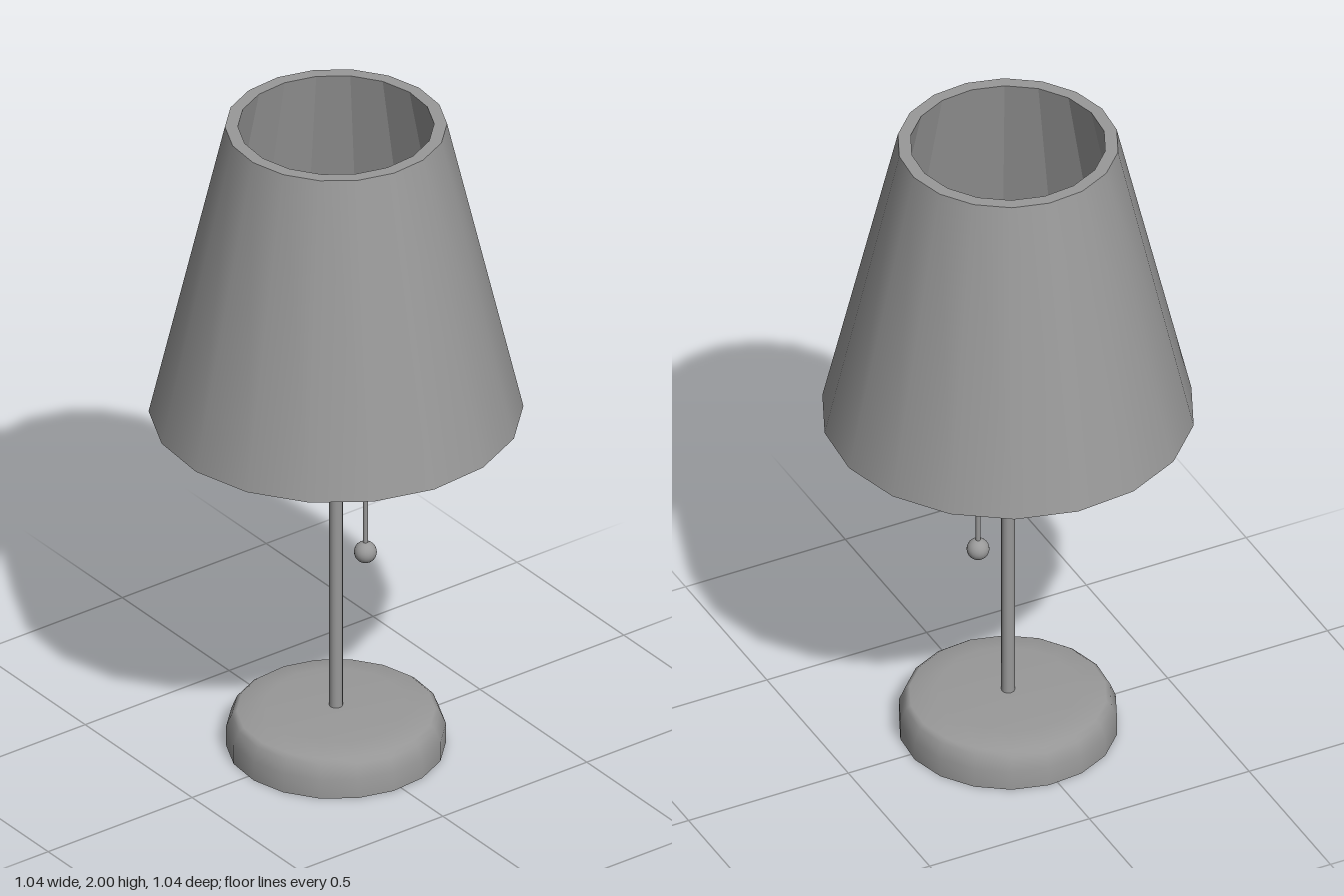
import * as THREE from 'three';

const SIDES = 18;
const TURN = THREE.MathUtils.degToRad(15);

const material = (flatShading = false) =>
  new THREE.MeshStandardMaterial({ color: 0x999999, side: THREE.DoubleSide, flatShading });

// Revolves a list of [radius, height] pairs around the lamp's axis
function revolve(name, profile, flat = false) {
  const points = profile.map(([r, y]) => new THREE.Vector2(r, y));
  const mesh = new THREE.Mesh(new THREE.LatheGeometry(points, SIDES, TURN), material(flat));
  mesh.name = name;
  return mesh;
}

// Open-ended upright tube between two heights
function rod(name, radius, bottom, top, sides) {
  const geometry = new THREE.CylinderGeometry(radius, radius, top - bottom, sides, 1, true);
  const mesh = new THREE.Mesh(geometry, material());
  mesh.name = name;
  mesh.position.y = (bottom + top) / 2;
  return mesh;
}

export function createModel() {
  const lamp = new THREE.Group();
  lamp.name = 'tableLamp';

  // Hollow base, open underneath, with a rounded shoulder
  lamp.add(revolve('base', [
    [0.307, 0], [0.307, 0.06], [0.291, 0.1], [0.277, 0.111], [0.2, 0.125], [0, 0.125]
  ]));

  // Pole
  lamp.add(rod('pole', 0.019, 0.115, 1.5, 12));

  // Thick conical shade, open at both ends; separate pieces keep the rims sharp
  const shade = new THREE.Group();
  shade.name = 'shade';
  const bottomOuter = [0.523, 1.083], topOuter = [0.31, 2];
  const topInner = [0.274, 2], bottomInner = [0.465, 1.083];
  shade.add(
    revolve('shadeOuterWall', [bottomOuter, topOuter]),
    revolve('shadeTopRim', [topOuter, topInner]),
    revolve('shadeInnerWall', [topInner, bottomInner], true),
    revolve('shadeBottomRim', [bottomInner, bottomOuter])
  );
  lamp.add(shade);

  // Pull cord with a ball at its end
  const pull = new THREE.Group();
  pull.name = 'pullSwitch';
  pull.position.set(0.076, 0, 0.035);
  const ball = new THREE.Mesh(new THREE.SphereGeometry(0.032, 20, 14), material());
  ball.name = 'pullBall';
  ball.position.y = 0.61;
  pull.add(rod('pullCord', 0.007, 0.62, 1.26, 8), ball);
  lamp.add(pull);

  return lamp;
}
